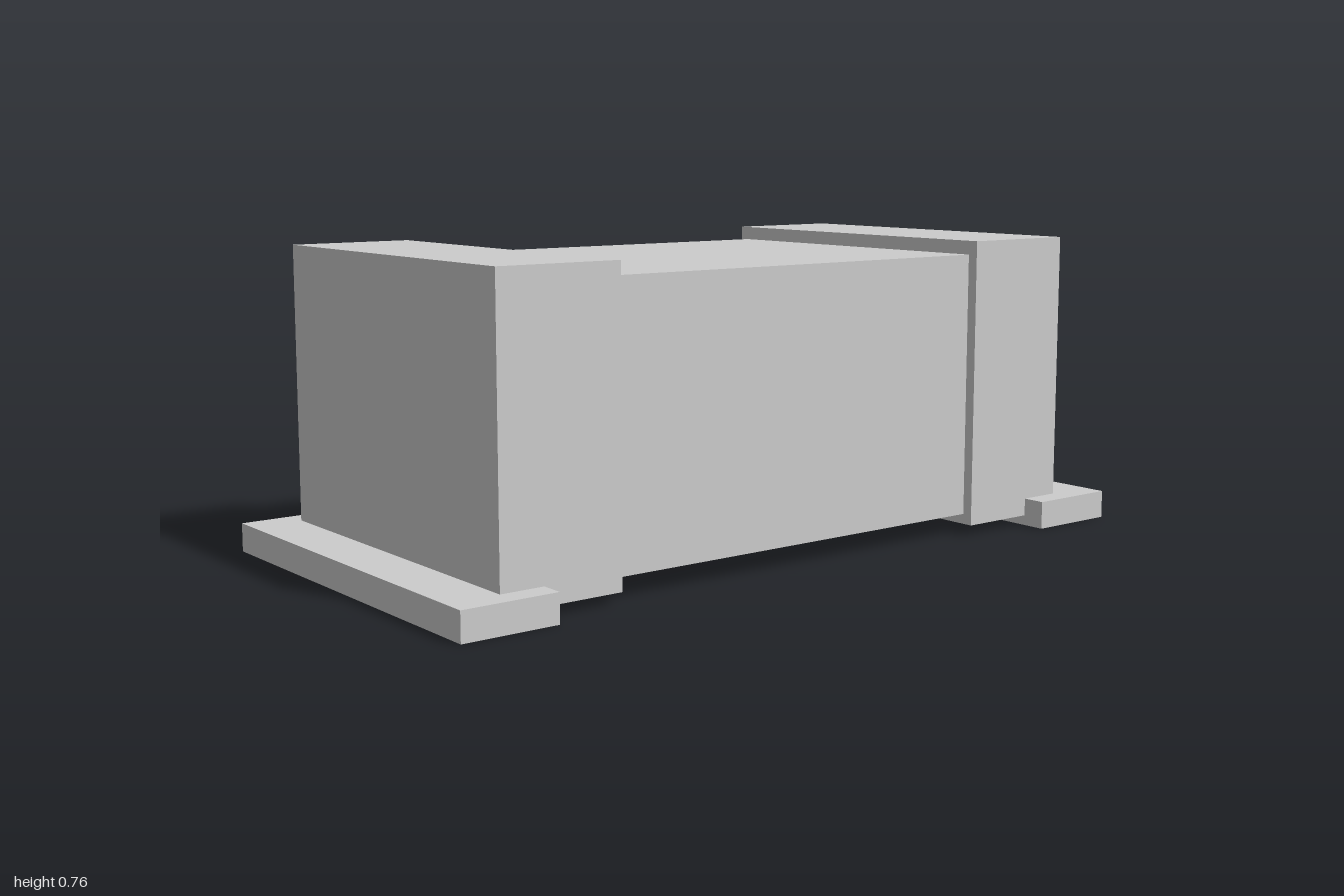
import * as THREE from 'three';

export function createModel() {
  const group = new THREE.Group();
  const lightGrey = new THREE.MeshStandardMaterial({ color: 0xcccccc });
  lightGrey.name = 'lightGrey';

  // Box given by its extents, centred on z = 0
  function addBox(name, x0, x1, y0, y1, depth) {
    const mesh = new THREE.Mesh(new THREE.BoxGeometry(x1 - x0, y1 - y0, depth), lightGrey);
    mesh.name = name;
    mesh.position.set((x0 + x1) / 2, (y0 + y1) / 2, 0);
    group.add(mesh);
  }

  // Central body, running into both end caps
  addBox('body', -0.57, 0.57, 0.052, 0.722, 0.874);

  // End cap and solder pad on each side
  for (const [side, s] of [['left', 1], ['right', -1]]) {
    const span = (a, b) => (s > 0 ? [a, b] : [-b, -a]);
    addBox(side + 'EndCap', ...span(0.553, 0.869), 0.026, 0.757, 0.928);
    addBox(side + 'Pad', ...span(0.758, 1), 0, 0.071, 1.046);
  }
  return group;
}
